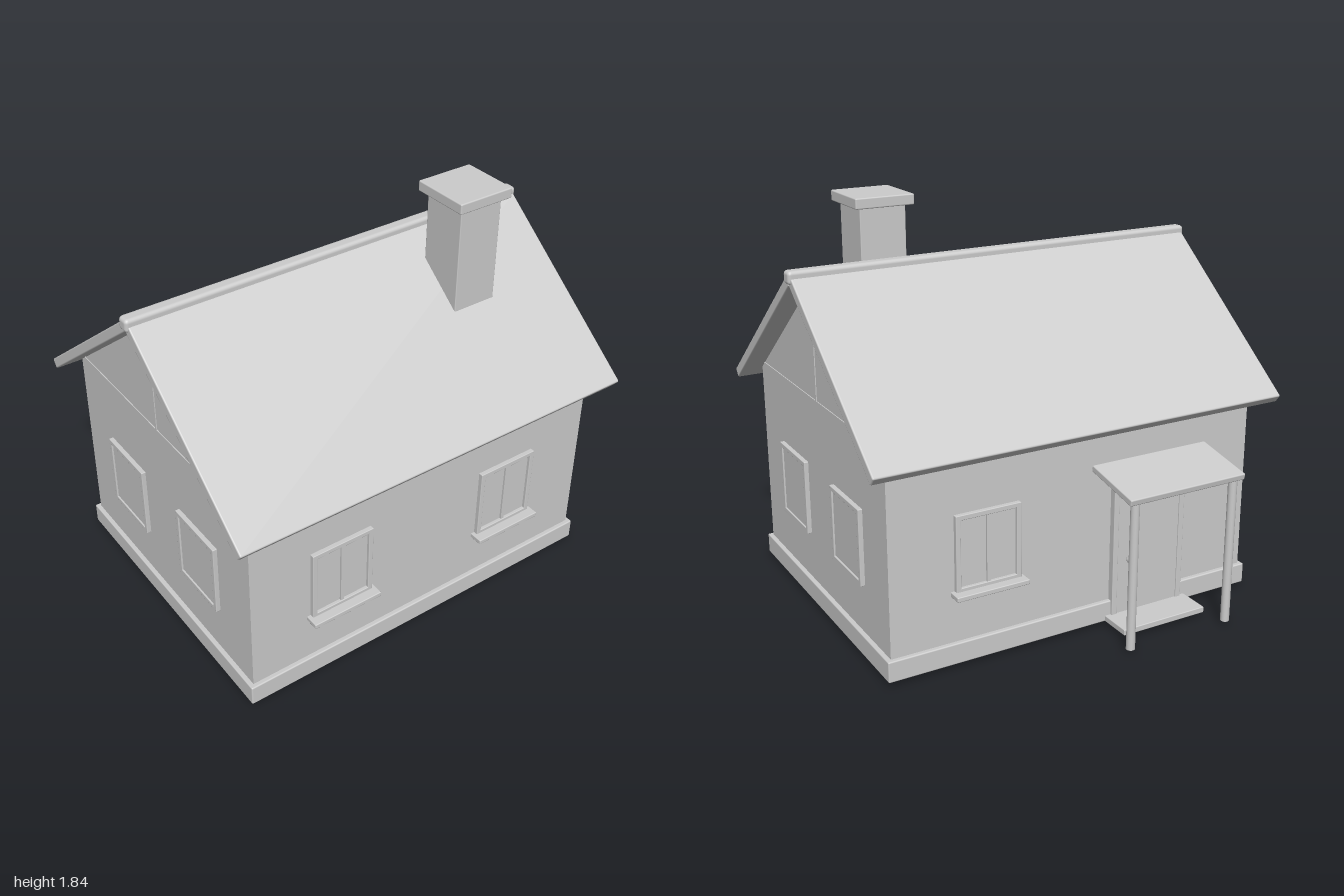
import * as THREE from 'three';
import { RoundedBoxGeometry } from 'three/addons/geometries/RoundedBoxGeometry.js';

const clay = new THREE.MeshStandardMaterial({ color: 0xcccccc });
clay.name = 'grey clay';

const RIDGE_Z = 0.095;

function add(parent, name, geometry, x = 0, y = 0, z = 0) {
  const mesh = new THREE.Mesh(geometry, clay);
  mesh.name = name;
  mesh.position.set(x, y, z);
  parent.add(mesh);
  return mesh;
}

// Box given by its limits on each axis, with softly rounded edges when r > 0
function block(parent, name, [x0, x1], [y0, y1], [z0, z1], r = 0) {
  const size = [x1 - x0, y1 - y0, z1 - z0];
  const geometry = r ? new RoundedBoxGeometry(...size, 2, r) : new THREE.BoxGeometry(...size);
  return add(parent, name, geometry, (x0 + x1) / 2, (y0 + y1) / 2, (z0 + z1) / 2);
}

// Window facing +z, centred on x = 0 with its back on z = 0
function makeWindow(name, withSill) {
  const g = new THREE.Group();
  g.name = name;
  const w = 0.152, y0 = 0.34, y1 = 0.685, b = 0.022, d = 0.02;
  for (const s of [-1, 1]) {
    const outer = s * w, inner = s * (w - b);
    block(g, 'frameSide', [Math.min(outer, inner), Math.max(outer, inner)], [y0, y1], [-0.01, d], 0.003);
  }
  block(g, 'frameTop', [-w, w], [y1 - b, y1], [-0.01, d], 0.003);
  block(g, 'frameBottom', [-w, w], [y0, y0 + b], [-0.01, d], 0.003);
  block(g, 'pane', [-w + b, w - b], [y0 + b, y1 - b], [-0.01, withSill ? 0.006 : 0.013]);
  if (withSill) {
    block(g, 'mullion', [-0.008, 0.008], [y0 + b, y1 - b], [0, 0.015]);
    block(g, 'sill', [-0.17, 0.17], [0.325, 0.347], [-0.005, 0.062], 0.004);
  }
  return g;
}

export function createModel() {
  const house = new THREE.Group();
  house.name = 'house';

  // Plinth and walls with gable ends
  block(house, 'plinth', [-0.91, 0.91], [0.02, 0.115], [-0.615, 0.805], 0.006);
  const profile = new THREE.Shape();
  profile.moveTo(-0.595, 0.06);
  profile.lineTo(0.785, 0.06);
  profile.lineTo(0.785, 0.98);
  profile.lineTo(RIDGE_Z, 1.522);
  profile.lineTo(-0.595, 0.98);
  const walls = new THREE.ExtrudeGeometry(profile, { depth: 1.78, bevelEnabled: false });
  walls.rotateY(-Math.PI / 2).translate(0.89, 0, 0);
  add(house, 'walls', walls);

  // Thin trim on both gables
  for (const s of [-1, 1]) {
    const xs = [s * 0.89 - 0.004, s * 0.89 + 0.004];
    block(house, 'gablePost', xs, [1.01, 1.51], [RIDGE_Z - 0.005, RIDGE_Z + 0.005]);
    block(house, 'gableBeam', xs, [1.005, 1.013], [RIDGE_Z - 0.65, RIDGE_Z + 0.65]);
  }

  // Roof slopes and ridge cap
  for (const s of [-1, 1]) {
    const slope = add(house, s > 0 ? 'frontRoof' : 'backRoof',
      new RoundedBoxGeometry(1.972, 0.046, 0.98, 2, 0.007), 0, 1.2405, RIDGE_Z + s * 0.399);
    slope.rotation.x = s * 0.666;
  }
  block(house, 'ridgeCap', [-0.997, 0.997], [1.53, 1.59], [RIDGE_Z - 0.031, RIDGE_Z + 0.031], 0.017);

  // Chimney
  block(house, 'chimney', [0.385, 0.6], [1.2, 1.8], [0.235, 0.45], 0.004);
  block(house, 'chimneyCap', [0.355, 0.63], [1.787, 1.835], [0.205, 0.48], 0.006);

  // Windows on all four walls
  for (const x of [-0.448, 0.443]) {
    const front = makeWindow('frontWindow', true);
    front.position.set(x, 0, 0.785);
    house.add(front);
  }
  const back = makeWindow('backWindow', true);
  back.position.set(0.445, 0, -0.595);
  back.rotation.y = Math.PI;
  house.add(back);
  for (const s of [-1, 1]) {
    for (const z of [0.39, -0.206]) {
      const side = makeWindow('sideWindow', false);
      side.position.set(s * 0.89, 0, z);
      side.rotation.y = s * Math.PI / 2;
      house.add(side);
    }
  }

  // Back door with frame, knob and step
  const cx = -0.35;
  for (const s of [-1, 1]) {
    const x = cx + s * 0.174;
    block(house, 'doorJamb', [x - 0.013, x + 0.013], [0, 0.66], [-0.625, -0.59], 0.003);
  }
  block(house, 'doorLintel', [cx - 0.187, cx + 0.187], [0.634, 0.66], [-0.625, -0.59], 0.003);
  block(house, 'door', [cx - 0.162, cx + 0.162], [0.005, 0.635], [-0.619, -0.59]);
  add(house, 'doorKnob', new THREE.SphereGeometry(0.017, 16, 12), -0.245, 0.305, -0.637);
  block(house, 'doorStep', [cx - 0.215, cx + 0.215], [0.02, 0.048], [-0.765, -0.6], 0.004);

  // Porch canopy on two posts
  const canopy = add(house, 'porchCanopy', new RoundedBoxGeometry(0.59, 0.03, 0.295, 2, 0.006), cx, 0.733, -0.75);
  canopy.rotation.x = -0.19;
  for (const s of [-1, 1]) {
    add(house, 'porchPost', new THREE.CylinderGeometry(0.02, 0.02, 0.68, 16), cx + s * 0.253, 0.36, -0.865);
  }
  return house;
}
